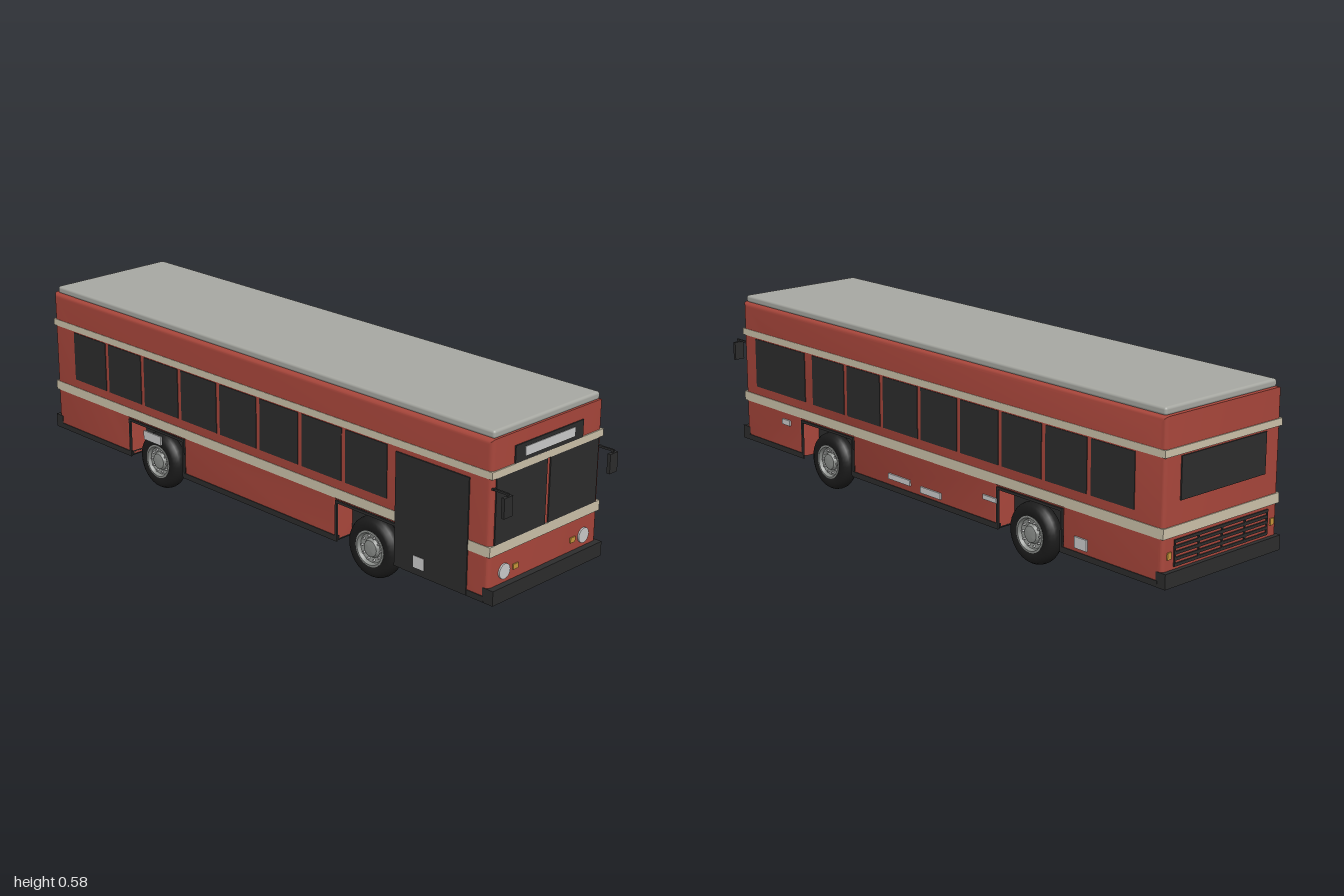
import * as THREE from 'three';
import { RoundedBoxGeometry } from 'three/addons/geometries/RoundedBoxGeometry.js';
import { toCreasedNormals } from 'three/addons/utils/BufferGeometryUtils.js';

const mat = (name, color) => {
  const m = new THREE.MeshStandardMaterial({ color });
  m.name = name;
  return m;
};

export function createModel() {
  const red = mat('body red', 0xa8463b);
  const dark = mat('dark trim and glass', 0x2c2c2c);
  const cream = mat('cream stripe', 0xcbc1a9);
  const grey = mat('roof grey', 0xa6a7a1);
  const pale = mat('pale plate', 0xcacaca);
  const amber = mat('amber lamp', 0xc8963a);
  const rubber = mat('tyre rubber', 0x1b1b1b);
  const steel = mat('wheel steel', 0x8b8e8b);
  const black = mat('underside black', 0x171717);

  const bus = new THREE.Group();
  bus.name = 'bus';
  const add = (name, geo, material, parent = bus) => {
    const m = new THREE.Mesh(geo, material);
    m.name = name;
    parent.add(m);
    return m;
  };
  // Box given by its minimum and maximum on each axis
  const box = (name, material, x0, x1, y0, y1, z0, z1) => {
    const m = add(name, new THREE.BoxGeometry(x1 - x0, y1 - y0, z1 - z0), material);
    m.position.set((x0 + x1) / 2, (y0 + y1) / 2, (z0 + z1) / 2);
    return m;
  };
  // Thin plate on a long side (s = +1 left-hand face at +z, -1 at -z)
  const sidePlate = (name, material, s, x0, x1, y0, y1, out = 0.242) =>
    box(name, material, x0, x1, y0, y1, s > 0 ? out - 0.006 : -out, s > 0 ? out : -out + 0.006);
  // Thin plate on the windscreen end
  const frontPlate = (name, material, z0, z1, y0, y1, out = 0.948) =>
    box(name, material, out - 0.007, out, y0, y1, z0, z1);
  const rearPlate = (name, material, z0, z1, y0, y1, out = 0.99) =>
    box(name, material, -out, -out + 0.007, y0, y1, z0, z1);

  const axles = [-0.465, 0.492];
  const archHalf = 0.134, archTop = 0.205;

  // Body shell: side outline with two wheel notches, bevelled across the width
  const b = 0.015, x0 = -0.986 + b, x1 = 0.944 - b, yb = 0.084 + b, yt = 0.558 - b;
  const outline = new THREE.Shape();
  outline.moveTo(x0, yb);
  for (const a of axles) {
    const h = archHalf + b;
    outline.lineTo(a - h, yb);
    outline.lineTo(a - h, archTop + b);
    outline.lineTo(a + h, archTop + b);
    outline.lineTo(a + h, yb);
  }
  outline.lineTo(x1, yb);
  outline.lineTo(x1, yt);
  outline.lineTo(x0, yt);
  const shell = new THREE.ExtrudeGeometry(outline, {
    depth: 0.48 - 2 * b, bevelEnabled: true, bevelSize: b, bevelThickness: b, bevelSegments: 4, curveSegments: 4,
  });
  shell.translate(0, 0, -0.24 + b);
  add('bodyShell', toCreasedNormals(shell, 0.6), red);

  // Roof panel
  const roof = add('roofPanel', new RoundedBoxGeometry(1.914, 0.024, 0.458, 3, 0.008), grey);
  roof.position.set(-0.018, 0.568, 0);

  // Stripes wrap the whole body
  box('upperStripe', cream, -0.989, 0.948, 0.445, 0.467, -0.2415, 0.2415);
  box('lowerStripe', cream, -0.989, 0.948, 0.216, 0.247, -0.2415, 0.2415);

  // Bumpers and floor
  box('frontBumper', dark, 0.925, 0.964, 0.077, 0.122, -0.241, 0.241);
  box('rearBumper', dark, -1.0, -0.965, 0.077, 0.122, -0.241, 0.241);
  box('floor', black, -0.97, 0.57, 0.078, 0.094, -0.175, 0.175);
  const edges = [-0.97, axles[0] - archHalf, axles[0] + archHalf, axles[1] - archHalf, axles[1] + archHalf, 0.93];
  for (let i = 0; i < 6; i += 2) {
    const end = Math.min(edges[i + 1], 0.57);
    if (end > edges[i]) box('floorSection', black, edges[i], end, 0.079, 0.094, -0.239, 0.239);
    for (const s of [1, -1]) sidePlate('skirt', dark, s, edges[i], edges[i + 1], 0.078, 0.096);
  }

  // Wheel arches: dark inner block and thin trim
  for (const a of axles) {
    box('archInterior', dark, a - archHalf, a + archHalf, 0.08, archTop, -0.172, 0.172);
    for (const s of [1, -1]) {
      const l = a - archHalf, r = a + archHalf;
      sidePlate('archTrimTop', dark, s, l - 0.004, r + 0.004, archTop - 0.004, archTop + 0.004);
      sidePlate('archTrimRear', dark, s, l - 0.004, l + 0.004, 0.078, archTop);
      sidePlate('archTrimFront', dark, s, r - 0.004, r + 0.004, 0.078, archTop);
    }
  }

  // Wheels
  const v = (x, y) => new THREE.Vector2(x, y);
  const tyreGeo = new THREE.LatheGeometry([
    v(0.05, -0.022), v(0.06, -0.0275), v(0.076, -0.0275), v(0.087, -0.022), v(0.093, -0.012), v(0.095, 0),
    v(0.093, 0.012), v(0.087, 0.022), v(0.076, 0.0275), v(0.06, 0.0275), v(0.05, 0.022),
  ], 32).rotateX(Math.PI / 2);
  const hubGeo = toCreasedNormals(new THREE.LatheGeometry([
    v(0.056, 0.018), v(0.056, 0.027), v(0.05, 0.028), v(0.045, 0.017), v(0.03, 0.014),
    v(0.025, 0.024), v(0.014, 0.026), v(0, 0.026),
  ], 28).rotateX(Math.PI / 2), 0.5);
  const nutGeo = new THREE.CylinderGeometry(0.0035, 0.0035, 0.01, 6).rotateX(Math.PI / 2);
  const backGeo = new THREE.CylinderGeometry(0.054, 0.054, 0.03, 24).rotateX(Math.PI / 2);
  for (const a of axles) {
    const axle = add('axle', new THREE.CylinderGeometry(0.015, 0.015, 0.36, 10).rotateX(Math.PI / 2), black);
    axle.position.set(a, 0.095, 0);
    for (const s of [1, -1]) {
      const wheel = new THREE.Group();
      wheel.name = 'wheel';
      wheel.position.set(a, 0.095, s * 0.21);
      if (s < 0) wheel.rotation.y = Math.PI;
      add('tyre', tyreGeo, rubber, wheel);
      add('hub', hubGeo, steel, wheel);
      add('wheelBack', backGeo, rubber, wheel).position.z = -0.008;
      for (let i = 0; i < 10; i++) {
        const t = (i / 10) * Math.PI * 2;
        add('wheelNut', nutGeo, pale, wheel).position.set(Math.cos(t) * 0.037, Math.sin(t) * 0.037, 0.018);
      }
      bus.add(wheel);
    }
  }

  // Side windows: eight panes on each side
  const bars = [-0.888, -0.706, -0.524, -0.342, -0.159, 0.023, 0.205, 0.387, 0.569];
  for (const s of [1, -1]) {
    for (let i = 0; i < 8; i++) {
      sidePlate('sideWindow', dark, s, bars[i] + 0.008, bars[i + 1] - 0.008, 0.276, 0.441);
    }
  }
  sidePlate('driverWindow', dark, -1, 0.602, 0.876, 0.276, 0.441);

  // Door on the +z side
  sidePlate('door', dark, 1, 0.596, 0.869, 0.08, 0.431, 0.244);

  // Small plates: side, x centre, y centre, width, height
  for (const [s, x, y, w, h] of [
    [1, -0.48, 0.175, 0.085, 0.03], [1, 0.692, 0.119, 0.04, 0.036],
    [-1, 0.71, 0.185, 0.042, 0.018], [-1, 0.12, 0.125, 0.105, 0.018], [-1, -0.03, 0.117, 0.095, 0.02],
    [-1, -0.3, 0.165, 0.06, 0.014], [-1, -0.68, 0.125, 0.048, 0.034],
  ]) sidePlate('sidePlate', pale, s, x - w / 2, x + w / 2, y - h / 2, y + h / 2, 0.2455);

  // Front: windscreen halves, destination board, lamps and mirrors
  frontPlate('signBoard', dark, -0.147, 0.147, 0.466, 0.519);
  frontPlate('signPanel', pale, -0.107, 0.107, 0.48, 0.507, 0.95);
  for (const s of [1, -1]) {
    const span = (a, c) => (s > 0 ? [a, c] : [-c, -a]);
    frontPlate('windscreen', dark, ...span(0.007, 0.222), 0.247, 0.445);
    frontPlate('turnSignal', amber, ...span(0.116, 0.137), 0.149, 0.165);
    frontPlate('pillarVent', dark, ...span(0.228, 0.235), 0.413, 0.419);
    const lamp = add('headlight', new THREE.CylinderGeometry(0.023, 0.023, 0.01, 24).rotateZ(Math.PI / 2), pale);
    lamp.position.set(0.944, 0.157, s * 0.175);
    box('mirrorArm', dark, 0.935, 0.996, 0.413, 0.419, s * 0.23 - 0.003, s * 0.23 + 0.003);
    box('mirrorStem', dark, 0.989, 0.995, 0.405, 0.419, s * 0.23 - 0.003, s * 0.23 + 0.003);
    box('mirror', dark, 0.987, 0.998, 0.349, 0.409, s * 0.2305 - 0.0175, s * 0.2305 + 0.0175);
    rearPlate('rearLamp', amber, ...span(0.207, 0.222), 0.155, 0.175);
  }

  // Rear: window and engine grille
  rearPlate('rearWindow', dark, -0.175, 0.175, 0.315, 0.44);
  for (let i = 0; i < 5; i++) rearPlate('grilleSlat', dark, -0.195, 0.195, 0.13 + i * 0.017, 0.139 + i * 0.017);
  for (let i = 0; i < 5; i++) rearPlate('grilleBar', dark, -0.195 + i * 0.0962, -0.19 + i * 0.0962, 0.13, 0.207);

  return bus;
}
